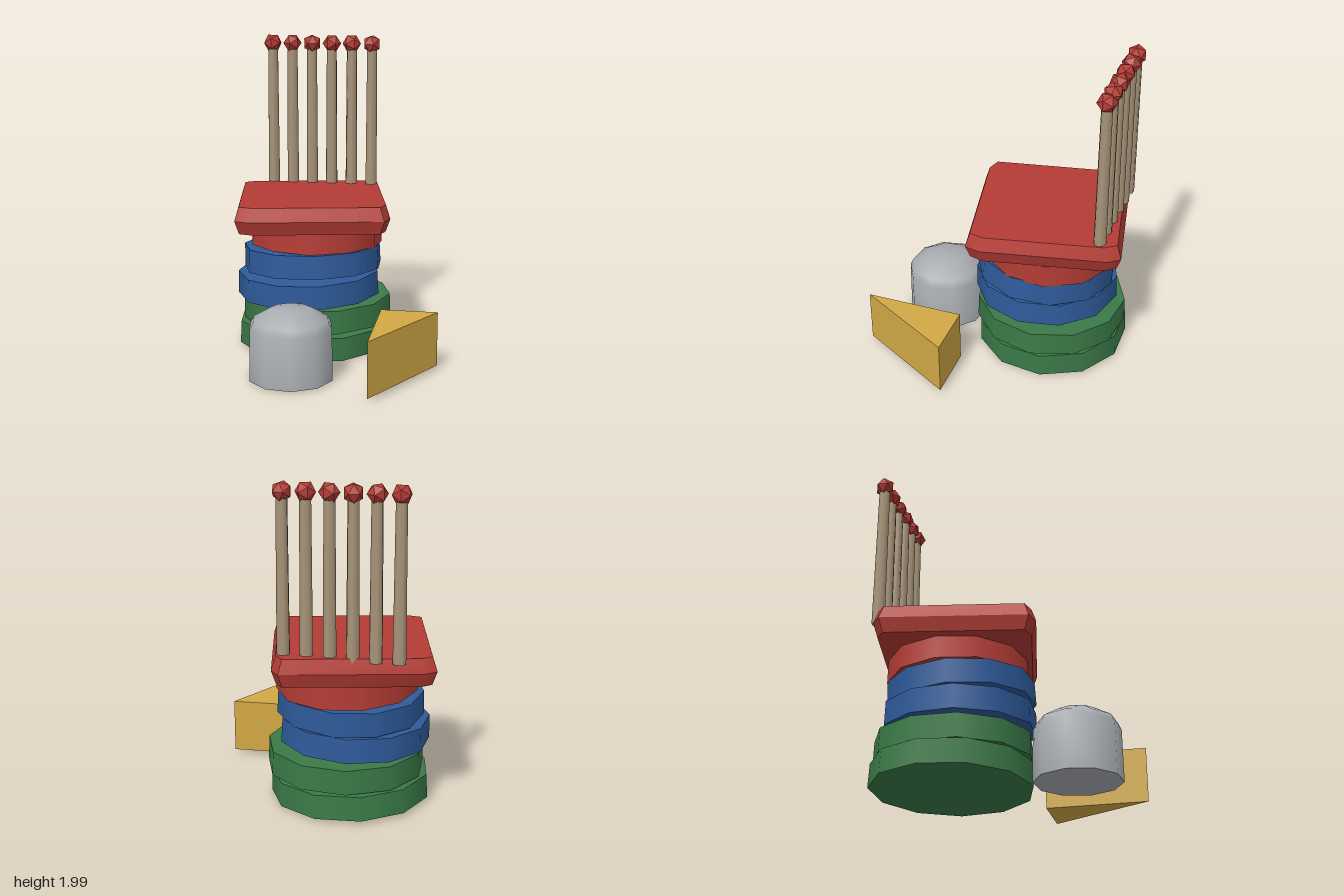
import * as THREE from 'three';
import { toCreasedNormals } from 'three/addons/utils/BufferGeometryUtils.js';

const paint = (name, color) => {
  const m = new THREE.MeshStandardMaterial({ color });
  m.name = name;
  return m;
};

// Closed solid lofted through rings of equal point count (rings listed bottom to top)
function loft(rings) {
  const n = rings[0].length, pos = [];
  const tri = (a, b, c) => pos.push(...a, ...b, ...c);
  for (let r = 0; r < rings.length - 1; r++) {
    for (let i = 0; i < n; i++) {
      const j = (i + 1) % n, lo = rings[r], hi = rings[r + 1];
      tri(lo[i], lo[j], hi[j]);
      tri(lo[i], hi[j], hi[i]);
    }
  }
  const bottom = rings[0], top = rings[rings.length - 1];
  for (let i = 1; i < n - 1; i++) {
    tri(bottom[0], bottom[i + 1], bottom[i]);
    tri(top[0], top[i], top[i + 1]);
  }
  const g = new THREE.BufferGeometry();
  g.setAttribute('position', new THREE.Float32BufferAttribute(pos, 3));
  g.computeVertexNormals();
  return g;
}

export function createModel() {
  const root = new THREE.Group();
  const red = paint('red', 0xb43c35), blue = paint('blue', 0x2e5b9b);
  const green = paint('green', 0x3a7a47), grey = paint('grey', 0xa9adb1);
  const gold = paint('gold', 0xd2a845), wood = paint('wood', 0xa8957a);

  const add = (name, geometry, material, parent = root) => {
    const mesh = new THREE.Mesh(geometry, material);
    mesh.name = name;
    parent.add(mesh);
    return mesh;
  };

  // Leaning stack of discs: x, y, z, radius, tilt about x, tilt about z
  const stack = new THREE.Group();
  stack.name = 'discStack';
  root.add(stack);
  [
    [green, -0.155, 0.091, -0.285, 0.49, 0.012, -0.022],
    [green, -0.125, 0.262, -0.285, 0.485, 0.0, 0.008],
    [blue, -0.172, 0.43, -0.24, 0.465, 0.008, 0.025],
    [blue, -0.147, 0.603, -0.24, 0.452, -0.038, 0.03],
    [red, -0.13, 0.76, -0.265, 0.432, -0.02, -0.015],
  ].forEach(([mat, x, y, z, r, tx, tz], i) => {
    const disc = add('disc' + (i + 1), new THREE.CylinderGeometry(r * 0.99, r, 0.148, 11), mat, stack);
    disc.position.set(x, y, z);
    disc.rotation.set(tx, i * 0.45, tz, 'XZY');
  });

  // Turned square slab with clipped corners and a bevelled rim
  const outline = [
    [-0.545, 0.265], [-0.45, 0.29], [0.365, 0.125], [0.39, 0.03],
    [0.235, -0.735], [0.18, -0.805], [-0.64, -0.645], [-0.705, -0.59],
  ];
  const cx = -0.157, cz = -0.257;
  const ring = (y, s) => outline.map(([x, z]) => [cx + (x - cx) * s, y, cz + (z - cz) * s]);
  const slab = loft([ring(0.83, 0.945), ring(0.915, 1), ring(1, 0.945)]);
  add('slab', toCreasedNormals(slab, 0.5), red);

  // Row of round-headed sticks along the back of the slab
  const sticks = new THREE.Group();
  sticks.name = 'stickRow';
  root.add(sticks);
  for (let i = 0; i < 6; i++) {
    const x = -0.495 + i * 0.134;
    const shaft = add('stickShaft', new THREE.CylinderGeometry(0.034, 0.04, 0.94, 7), wood, sticks);
    shaft.position.set(x, 1.447, -0.667);
    shaft.rotation.y = i * 0.7;
    const head = add('stickHead', toCreasedNormals(new THREE.IcosahedronGeometry(0.062, 0), 0.4), red, sticks);
    head.position.set(x, 1.941, -0.667);
    head.rotation.y = i * 0.9;
  }

  // Domed cup in front of the stack
  const profile = [[0, 0.012], [0.262, 0.012], [0.258, 0.33], [0.235, 0.375], [0.13, 0.437], [0, 0.445]]
    .map(([x, y]) => new THREE.Vector2(x, y));
  const cup = add('domedCup', toCreasedNormals(new THREE.LatheGeometry(profile, 10), 0.85), grey);
  cup.position.set(-0.155, 0, 0.465);
  cup.rotation.y = 0.2;

  // Upright triangular wedge
  const corners = [[0.355, 0.175], [0.355, 0.805], [0.705, 0.175]];
  const level = (y) => corners.map(([x, z]) => [x, y, z]);
  add('wedge', loft([level(0.03), level(0.372)]), gold);

  return root;
}
